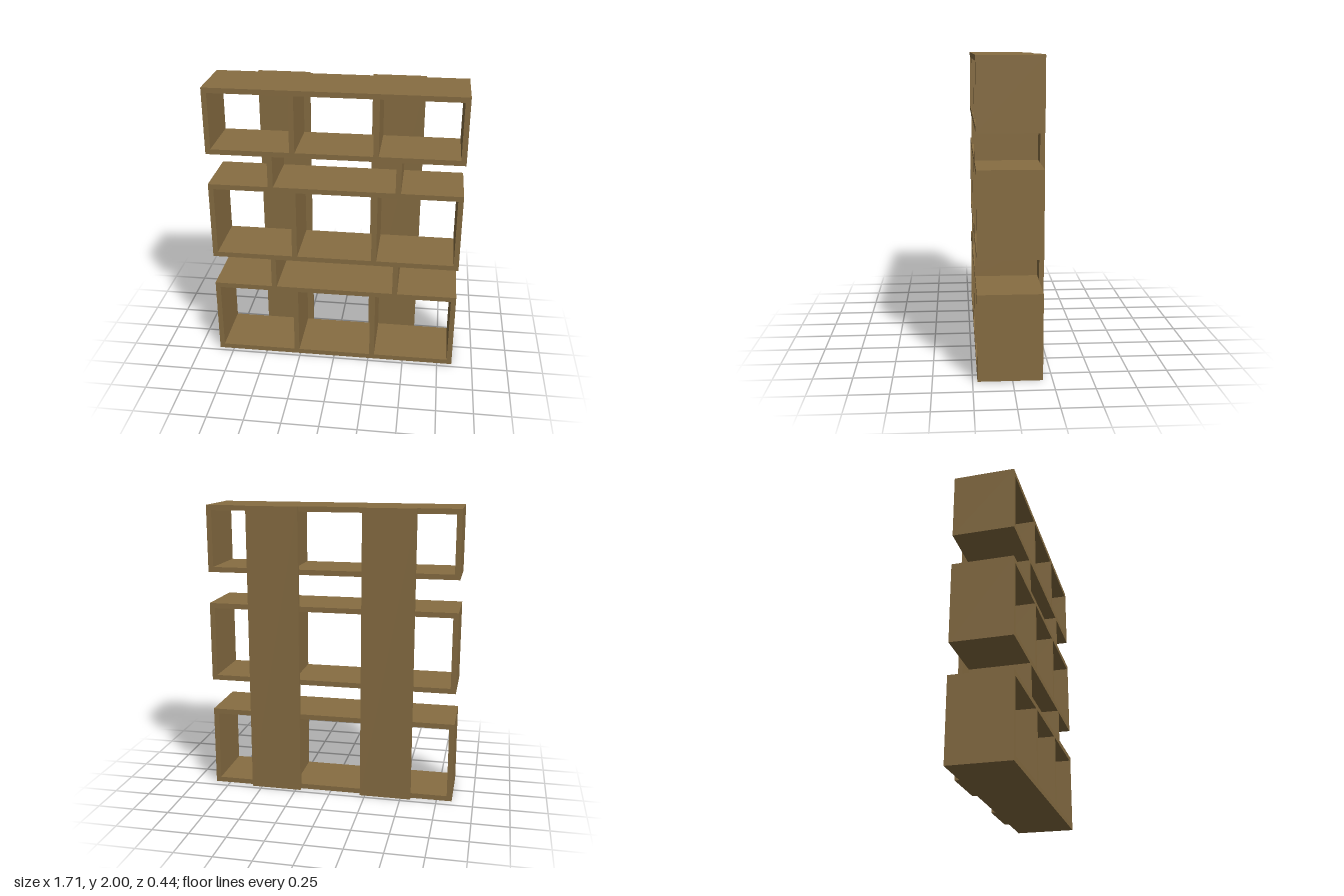
import * as THREE from 'three';

const HALF_WIDTH = 0.855, BOARD = 0.035;
const BACK = -0.19, FRONT = 0.22, DEPTH = FRONT - BACK;

export function createModel() {
  const model = new THREE.Group();
  model.name = 'shelvingUnit';
  const wood = new THREE.MeshStandardMaterial({ color: 0x876d42 });
  wood.name = 'brown wood';

  // Box given by its lower and upper limits on each axis
  function board(name, x0, x1, y0, y1, z0, z1) {
    const mesh = new THREE.Mesh(new THREE.BoxGeometry(x1 - x0, y1 - y0, z1 - z0), wood);
    mesh.position.set((x0 + x1) / 2, (y0 + y1) / 2, (z0 + z1) / 2);
    mesh.name = name;
    model.add(mesh);
  }

  // Mirrored pair of uprights centred on +x and -x
  function uprights(name, x, y0, y1) {
    for (const s of [-1, 1]) {
      board((s > 0 ? 'left' : 'right') + name, s * x - BOARD / 2, s * x + BOARD / 2, y0, y1, BACK, FRONT);
    }
  }

  // Open rectangular case, made as one ring
  function caseFrame(name, y0, y1) {
    const rect = (Type, w, a, b) => new Type([
      new THREE.Vector2(-w, a), new THREE.Vector2(w, a),
      new THREE.Vector2(w, b), new THREE.Vector2(-w, b)]);
    const shape = rect(THREE.Shape, HALF_WIDTH, y0, y1);
    shape.holes.push(rect(THREE.Path, HALF_WIDTH - BOARD, y0 + BOARD, y1 - BOARD));
    const mesh = new THREE.Mesh(
      new THREE.ExtrudeGeometry(shape, { depth: DEPTH, bevelEnabled: false }), wood);
    mesh.position.z = BACK;
    mesh.name = name;
    model.add(mesh);
  }

  // Three cases, each split into three bays
  const cases = [['lower', 0, 0.56], ['middle', 0.777, 1.329], ['upper', 1.546, 2]];
  cases.forEach(([level, y0, y1], i) => {
    caseFrame(level + 'Case', y0, y1);
    uprights('Divider' + (i + 1), 0.275, y0 + BOARD, y1 - BOARD);
    // Short spacers up to the next case
    if (i < 2) uprights('Spacer' + (i + 1), 0.427, y1, cases[i + 1][1]);
  });

  // Tall rear panels joining the cases
  board('rightBackPanel', -0.57, -0.215, 0, 2, -0.22, BACK);
  board('leftBackPanel', 0.215, 0.57, 0, 2, -0.22, BACK);

  return model;
}
